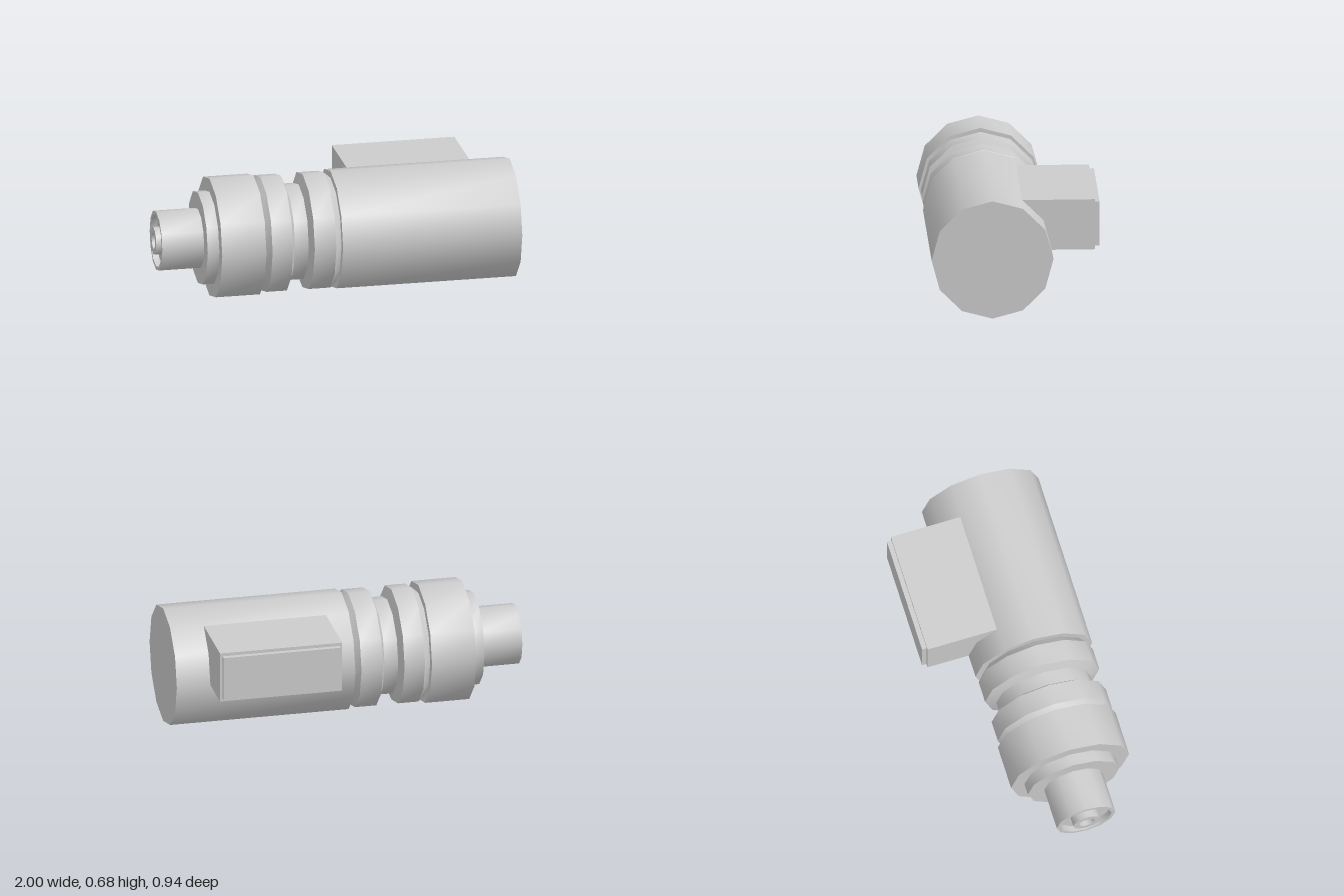
import * as THREE from 'three';
import { toCreasedNormals } from 'three/addons/utils/BufferGeometryUtils.js';

const AXIS_Y = 0.339, AXIS_Z = 0.131, SIDES = 12;

export function createModel() {
  const group = new THREE.Group();
  const material = new THREE.MeshStandardMaterial({ color: 0xcccccc });

  // Turned part along x; profile is a list of [x, radius] from -x to +x
  function turned(name, profile) {
    const points = profile.map(([x, r]) => new THREE.Vector2(r, x));
    const geometry = new THREE.LatheGeometry(points, SIDES).rotateZ(-Math.PI / 2);
    const mesh = new THREE.Mesh(toCreasedNormals(geometry, 0.6), material);
    mesh.name = name;
    mesh.position.set(0, AXIS_Y, AXIS_Z);
    group.add(mesh);
  }

  // Box given by its minimum and maximum corners
  function block(name, [x0, y0, z0], [x1, y1, z1]) {
    const mesh = new THREE.Mesh(new THREE.BoxGeometry(x1 - x0, y1 - y0, z1 - z0), material);
    mesh.name = name;
    mesh.position.set((x0 + x1) / 2, (y0 + y1) / 2, (z0 + z1) / 2);
    group.add(mesh);
  }

  // Hollow nozzle with a small bored pin, stepping up to the flange and collar
  turned('nozzleAndCollar', [
    [-0.96, 0], [-0.96, 0.045], [-1, 0.045], [-1, 0.078], [-0.95, 0.078],
    [-0.95, 0.148], [-0.985, 0.148], [-0.985, 0.168], [-0.75, 0.168],
    [-0.75, 0.262], [-0.685, 0.262], [-0.685, 0.339], [-0.437, 0.339], [-0.437, 0],
  ]);

  // Two bevelled rings with a groove between them
  turned('groovedRings', [
    [-0.44, 0], [-0.44, 0.29], [-0.4, 0.328], [-0.285, 0.328], [-0.262, 0.27],
    [-0.185, 0.27], [-0.163, 0.328], [-0.042, 0.328], [0, 0.29], [0, 0],
  ]);

  // Main cylinder
  turned('body', [[-0.006, 0], [-0.006, 0.335], [1, 0.335], [1, 0]]);

  // Side box with its raised end plate
  block('sideBox', [0.123, 0.338, -0.44], [0.811, 0.624, 0.05]);
  block('endPlate', [0.138, 0.356, -0.467], [0.797, 0.606, -0.43]);

  return group;
}
